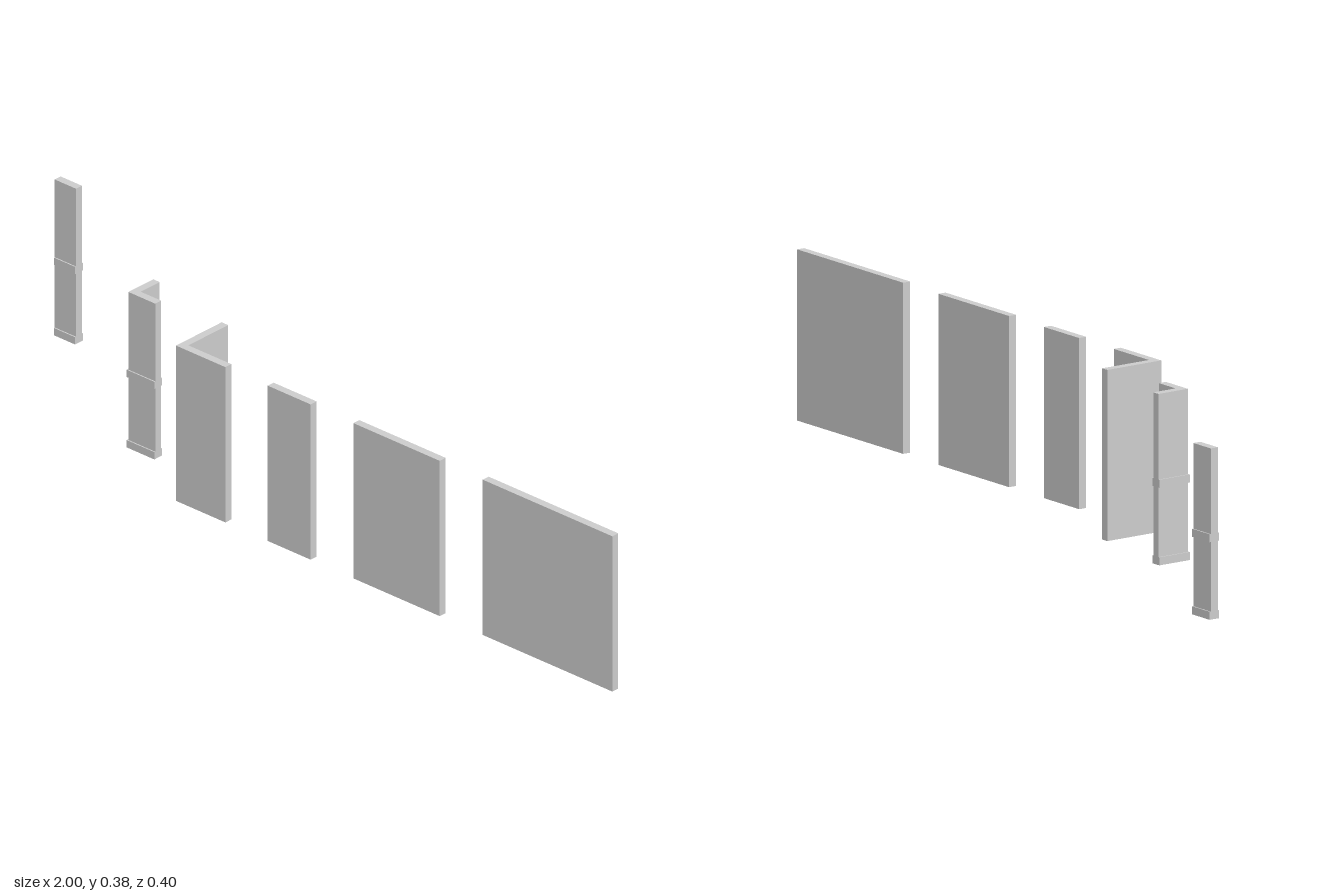
import * as THREE from 'three';

const HEIGHT = 0.382; // wall height
const THICK = 0.019;  // wall thickness
const LIP = 0.003;    // how far trim bands stand proud
const BANDS = [[0, 0.018], [0.173, 0.191]]; // bottom and middle trim, y ranges

const material = new THREE.MeshStandardMaterial({ color: 0xcccccc, flatShading: true });

// Extrudes a plan outline of [x, z] points from y0 to y1.
function slab(name, points, y0, y1) {
  const shape = new THREE.Shape(points.map(([x, z]) => new THREE.Vector2(x, -z)));
  const geometry = new THREE.ExtrudeGeometry(shape, { depth: y1 - y0, bevelEnabled: false });
  geometry.rotateX(-Math.PI / 2);
  geometry.translate(0, y0, 0);
  const mesh = new THREE.Mesh(geometry, material);
  mesh.name = name;
  return mesh;
}

// Straight plan, widened by lip on front and back only.
const straight = (x0, x1, zFront, lip = 0) => [
  [x0, zFront + lip], [x1, zFront + lip],
  [x1, zFront - THICK - lip], [x0, zFront - THICK - lip],
];

// L plan with its outer corner at (x, z); the leg ends stay flush.
const corner = (x, z, size, lip = 0) => [
  [x - lip, z + lip], [x + size, z + lip],
  [x + size, z - THICK - lip], [x + THICK + lip, z - THICK - lip],
  [x + THICK + lip, z - size], [x - lip, z - size],
];

// A post with its trim bands; plan(lip) returns the outline.
function bandedPost(name, plan) {
  const group = new THREE.Group();
  group.name = name;
  group.add(slab(name + 'Core', plan(0), 0, HEIGHT));
  for (const [y0, y1] of BANDS) group.add(slab('trimBand', plan(LIP), y0, y1));
  return group;
}

export function createModel() {
  const model = new THREE.Group();
  model.name = 'wallPanelSet';

  // Narrow trimmed posts
  model.add(bandedPost('straightPost', lip => straight(-1, -0.937, -0.178, lip)));
  model.add(bandedPost('cornerPost', lip => corner(-0.532, 0.0925, 0.0795, lip)));

  // Plain corner wall
  model.add(slab('cornerWall', corner(-0.289, 0.203, 0.146), 0, HEIGHT));

  // Plain flat walls of growing width
  const walls = [['narrowWall', -0.018, 0.109], ['mediumWall', 0.235, 0.49], ['wideWall', 0.617, 1]];
  for (const [name, x0, x1] of walls) {
    model.add(slab(name, straight(x0, x1, 0.203), 0, HEIGHT));
  }
  return model;
}
